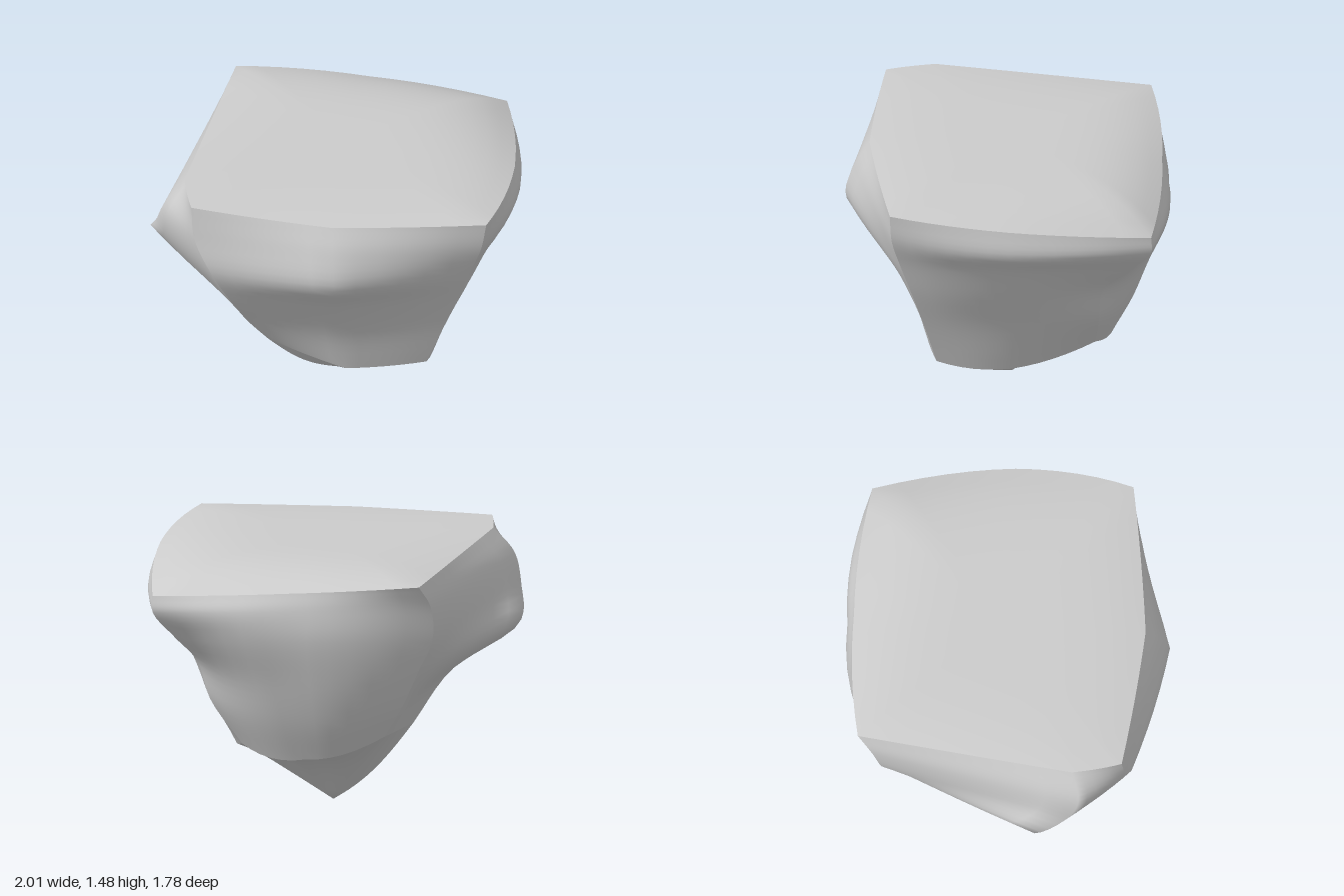
import * as THREE from 'three';
import { mergeVertices } from 'three/addons/utils/BufferGeometryUtils.js';

const material = new THREE.MeshStandardMaterial({ color: 0xcccccc });

// Vertical ribs of the boulder, top to bottom: corners and side middles in turn
const ribs = [
  // front, +x corner
  [[0.87, 1.45, 0.65], [0.84, 1.28, 0.64], [0.77, 1.08, 0.59], [0.71, 0.88, 0.53], [0.62, 0.63, 0.46], [0.52, 0.35, 0.39]],
  // front middle, with a brow and a dent below it
  [[0.03, 1.45, 0.75], [0.04, 1.32, 0.83], [0.05, 1.13, 0.88], [0.05, 0.9, 0.71], [0.06, 0.6, 0.54], [0.08, 0.32, 0.45]],
  // front, -x corner
  [[-0.75, 1.47, 0.65], [-0.73, 1.27, 0.67], [-0.63, 1.06, 0.7], [-0.54, 0.85, 0.62], [-0.46, 0.62, 0.47], [-0.36, 0.42, 0.34]],
  // -x side middle, with a jutting lip
  [[-0.81, 1.47, 0.38], [-0.92, 1.33, 0.42], [-0.97, 1.17, 0.36], [-1, 1, 0.17], [-0.64, 0.74, 0.05], [-0.45, 0.46, -0.05]],
  // back, -x corner
  [[-0.63, 1.43, -0.8], [-0.68, 1.3, -0.72], [-0.68, 1.1, -0.67], [-0.6, 0.92, -0.65], [-0.5, 0.7, -0.61], [-0.39, 0.51, -0.56]],
  // back middle
  [[0.1, 1.37, -0.85], [0.1, 1.28, -0.88], [0.1, 1.12, -0.88], [0.08, 0.85, -0.8], [0.06, 0.6, -0.71], [0.04, 0.37, -0.6]],
  // back, +x corner, undercut below the top
  [[0.86, 1.3, -0.78], [0.86, 1.21, -0.78], [0.76, 1.04, -0.66], [0.66, 0.87, -0.52], [0.59, 0.65, -0.5], [0.42, 0.41, -0.48]],
  // +x side middle
  [[0.97, 1.4, 0], [1, 1.26, 0], [0.91, 1.12, 0], [0.8, 0.9, -0.02], [0.67, 0.64, -0.04], [0.54, 0.31, -0.02]],
].map((rib) => new THREE.CatmullRomCurve3(rib.map((p) => new THREE.Vector3(...p))));

// How round each side is across: 0 folds at the middle, 1 is a full curve, more is boxier
const sides = [
  { name: 'frontFace', round: 0.3 },
  { name: 'leftFlank', round: 0.1 },
  { name: 'backFace', round: 1.4 },
  { name: 'rightFlank', round: 0.9 },
];

// Point on one side: u runs across from corner to corner, v runs down
function sidePoint(side, u, v) {
  const [a, m, b] = [0, 1, 2].map((k) => ribs[(side * 2 + k) % 8].getPoint(v));
  const folded = u < 0.5 ? a.clone().lerp(m, u * 2) : m.clone().lerp(b, u * 2 - 1);
  const curved = a.multiplyScalar((1 - u) * (1 - 2 * u))
    .addScaledVector(m, 4 * u * (1 - u))
    .addScaledVector(b, u * (2 * u - 1));
  return folded.lerp(curved, sides[side].round);
}

// Point on the rim shared by the sides and a cap, t from 0 to 4
function rimPoint(t, v) {
  const side = Math.floor(t) % 4;
  return sidePoint(side, t - Math.floor(t), v);
}

// Smooth mesh over a grid of points
function patch(name, nu, nv, pointAt) {
  const positions = [];
  const index = [];
  for (let j = 0; j <= nv; j++) {
    for (let i = 0; i <= nu; i++) positions.push(...pointAt(i / nu, j / nv).toArray());
  }
  for (let j = 0; j < nv; j++) {
    for (let i = 0; i < nu; i++) {
      const a = j * (nu + 1) + i;
      const c = a + nu + 1;
      index.push(a, a + 1, c, a + 1, c + 1, c);
    }
  }
  let geometry = new THREE.BufferGeometry();
  geometry.setAttribute('position', new THREE.Float32BufferAttribute(positions, 3));
  geometry.setIndex(index);
  geometry = mergeVertices(geometry);
  geometry.computeVertexNormals();
  const mesh = new THREE.Mesh(geometry, material);
  mesh.name = name;
  return mesh;
}

export function createModel() {
  const group = new THREE.Group();
  group.name = 'boulder';

  // Four sides, smooth within and sharp where they meet
  sides.forEach(({ name }, s) => group.add(patch(name, 12, 24, (u, v) => sidePoint(s, u, v))));

  // Nearly flat top that rounds down to its uneven rim
  const topCentre = new THREE.Vector3(0.05, 1.48, -0.05);
  group.add(patch('topFace', 48, 12, (u, v) => {
    const rim = rimPoint(u * 4, 0);
    const p = topCentre.clone().lerp(rim, v);
    p.y = THREE.MathUtils.lerp(topCentre.y, rim.y, v ** 4);
    return p;
  }));

  // Underside tapering to a blunt point, hollowed at the back and fuller towards -x
  const tip = new THREE.Vector3(0, 0, -0.03);
  group.add(patch('underside', 48, 10, (u, v) => {
    const rim = rimPoint(u * 4, 1);
    const swell = 0.13 * Math.min(rim.x, 0) - 0.14 * Math.min(rim.z, 0);
    const p = rim.lerp(tip, v);
    p.y += swell * Math.sin(Math.PI * v);
    return p;
  }));

  return group;
}
